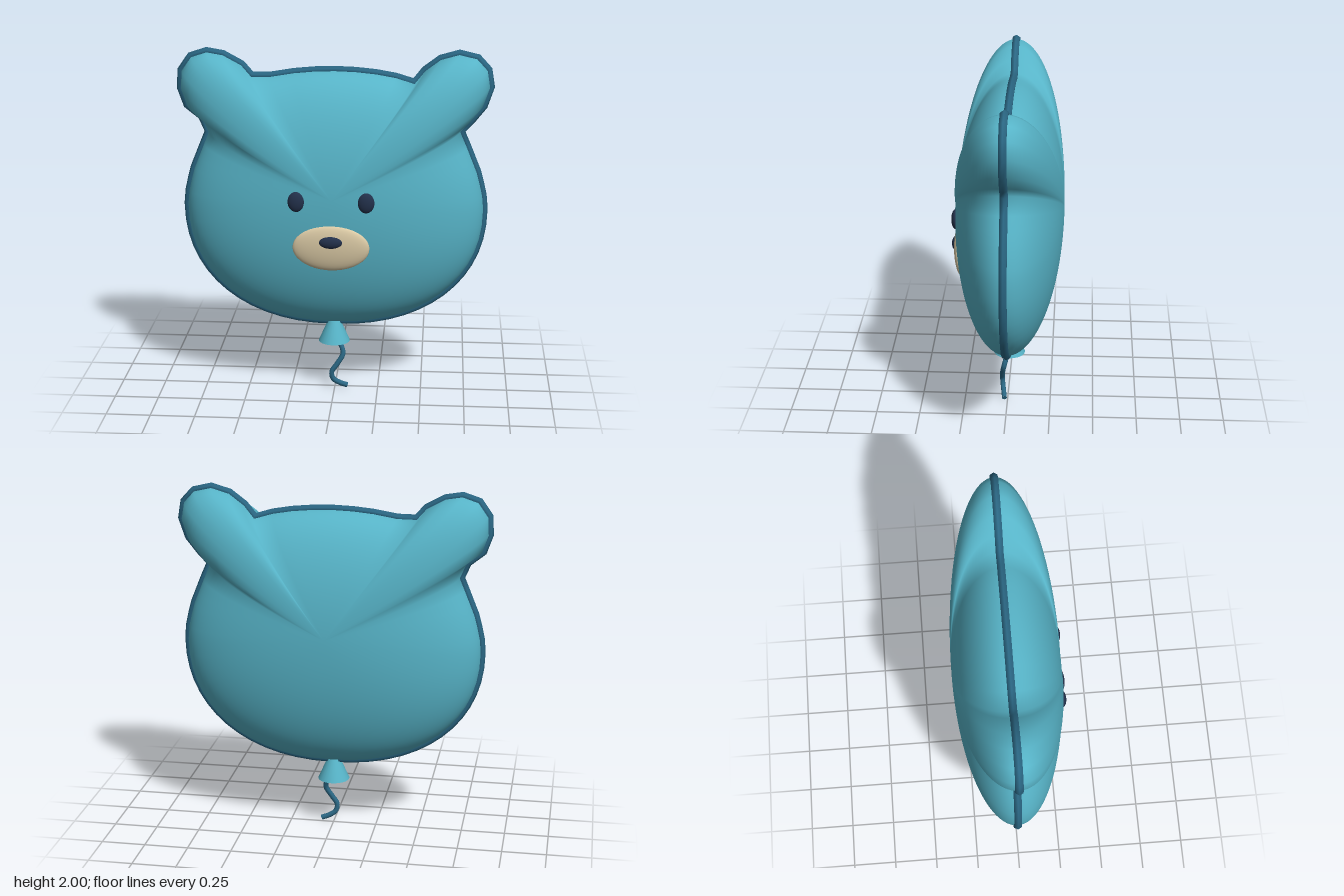
import * as THREE from 'three';

const SEAM_Z = -0.013, DEPTH = 0.304, CENTRE_Y = 1.21, SEAM_R = 0.024;

const teal = new THREE.MeshStandardMaterial({ name: 'balloon teal', color: 0x57b4c8 });
const darkTeal = new THREE.MeshStandardMaterial({ name: 'seam dark teal', color: 0x2b6885 });
const navy = new THREE.MeshStandardMaterial({ name: 'face navy', color: 0x22304a });
const cream = new THREE.MeshStandardMaterial({ name: 'muzzle cream', color: 0xdccba6 });

// Outer outline, counter-clockwise from the bottom middle
function outline() {
  const V = (x, y) => new THREE.Vector2(x, y);
  const lower = [];
  const n = 14;
  for (let i = 0; i <= n; i++) {
    const a = (i / n) * Math.PI / 2;
    lower.push(V(0.86 * Math.sin(a) ** (2 / 2.2), 1.1 - 0.715 * Math.cos(a) ** (2 / 2.2)));
  }
  const side = [V(0.852, 1.18), V(0.836, 1.25), V(0.817, 1.32), V(0.79, 1.386), V(0.76, 1.46)];
  const leftEar = [V(0.725, 1.54), V(0.772, 1.59), V(0.841, 1.677), V(0.88, 1.794), V(0.862, 1.9),
    V(0.794, 1.974), V(0.683, 2.0), V(0.571, 1.968), V(0.481, 1.9), V(0.432, 1.838)];
  const top = [V(0.34, 1.866), V(0.23, 1.885), V(0.115, 1.896), V(0, 1.9),
    V(-0.115, 1.896), V(-0.23, 1.885), V(-0.36, 1.863)];
  const rightEar = [V(-0.455, 1.862), V(-0.505, 1.92), V(-0.614, 1.979), V(-0.714, 1.996), V(-0.815, 1.963),
    V(-0.878, 1.873), V(-0.884, 1.762), V(-0.847, 1.656), V(-0.765, 1.59), V(-0.735, 1.519)];
  const mirror = (pts) => pts.map((p) => V(-p.x, p.y)).reverse();
  return [...lower, ...side, ...leftEar, ...top, ...rightEar, ...mirror(side), ...mirror(lower.slice(1))];
}

// Mitred outward normal at each outline point
function outlineNormals(pts) {
  const N = pts.length;
  const edge = (a, b) => new THREE.Vector2(b.y - a.y, a.x - b.x).normalize();
  return pts.map((p, j) => {
    const a = edge(pts[(j + N - 1) % N], p), b = edge(p, pts[(j + 1) % N]);
    const m = a.clone().add(b).normalize();
    return m.multiplyScalar(1 / Math.max(0.7, m.dot(a)));
  });
}

// Surface through rows of closed cross-sections
function loft(rows, cols, point) {
  const pos = [], index = [];
  for (let i = 0; i <= rows; i++) for (let j = 0; j < cols; j++) pos.push(...point(i, j));
  for (let i = 0; i < rows; i++) for (let j = 0; j < cols; j++) {
    const k = (j + 1) % cols;
    const a = i * cols + j, b = (i + 1) * cols + j, c = (i + 1) * cols + k, d = i * cols + k;
    if (i < rows - 1) index.push(a, b, c);
    else index.push(a, b, d);
    if (i > 0 && i < rows - 1) index.push(a, c, d);
  }
  return { pos, index };
}

function toGeometry({ pos, index }) {
  const g = new THREE.BufferGeometry();
  g.setAttribute('position', new THREE.Float32BufferAttribute(pos, 3));
  g.setIndex(index);
  g.computeVertexNormals();
  return g;
}

export function createModel() {
  const model = new THREE.Group();
  model.name = 'bearBalloon';
  const add = (name, geometry, material, x = 0, y = 0, z = 0) => {
    const m = new THREE.Mesh(geometry, material);
    m.name = name;
    m.position.set(x, y, z);
    model.add(m);
    return m;
  };

  // Inflated head: the outline shrinks to a front and a back pole
  const outer = outline();
  const normals = outlineNormals(outer);
  const rim = outer.map((p, j) => p.clone().addScaledVector(normals[j], -SEAM_R));
  const N = rim.length, rows = 48;
  const headGeometry = toGeometry(loft(rows, N, (i, j) => {
    const t = (i / rows) * Math.PI, s = Math.sin(t);
    return [rim[j].x * s, CENTRE_Y + (rim[j].y - CENTRE_Y) * s, SEAM_Z + DEPTH * Math.cos(t)];
  }));
  // Smooth poles
  const nrm = headGeometry.attributes.normal;
  for (let j = 0; j < N; j++) {
    nrm.setXYZ(j, 0, 0, 1);
    nrm.setXYZ(rows * N + j, 0, 0, -1);
  }
  add('head', headGeometry, teal);

  // Seam: six-sided bead around the rim
  const seamPos = [], seamIndex = [], sides = 6;
  for (let i = 0; i < sides; i++) for (let j = 0; j < N; j++) {
    const a = (-i / sides) * Math.PI * 2;
    const p = rim[j], n = normals[j], r = SEAM_R * Math.cos(a);
    seamPos.push(p.x + n.x * r, p.y + n.y * r, SEAM_Z + SEAM_R * Math.sin(a));
    const i2 = (i + 1) % sides, j2 = (j + 1) % N;
    seamIndex.push(i * N + j, i2 * N + j, i2 * N + j2, i * N + j, i2 * N + j2, i * N + j2);
  }
  add('seam', toGeometry({ pos: seamPos, index: seamIndex }), darkTeal);

  // Face
  const ball = new THREE.SphereGeometry(1, 32, 20);
  for (const [name, x] of [['leftEye', 0.19], ['rightEye', -0.194]])
    add(name, ball, navy, x, 1.2, 0.28).scale.set(0.046, 0.057, 0.024);
  const muzzle = add('muzzle', ball, cream, -0.003, 0.935, 0.267);
  muzzle.scale.set(0.213, 0.134, 0.035);
  muzzle.rotation.x = 0.1;
  add('nose', ball, navy, -0.003, 0.976, 0.295).scale.set(0.067, 0.036, 0.024);

  // Tied neck and string
  add('knot', new THREE.CylinderGeometry(0.035, 0.09, 0.126, 24), teal, -0.004, 0.35, SEAM_Z + 0.004);
  const path = new THREE.CatmullRomCurve3([
    [0, 0.3, -0.01], [0.035, 0.265, 0.008], [0.048, 0.215, 0.022], [0.015, 0.155, 0.032],
    [-0.016, 0.105, 0.034], [-0.008, 0.062, 0.03], [0.028, 0.036, 0.024], [0.073, 0.019, 0.018],
  ].map((p) => new THREE.Vector3(...p)));
  add('string', new THREE.TubeGeometry(path, 40, 0.015, 8), darkTeal);
  const end = add('stringEnd', new THREE.CircleGeometry(0.015, 8), darkTeal, 0.073, 0.019, 0.018);
  end.lookAt(end.position.clone().add(path.getTangent(1)));

  return model;
}
